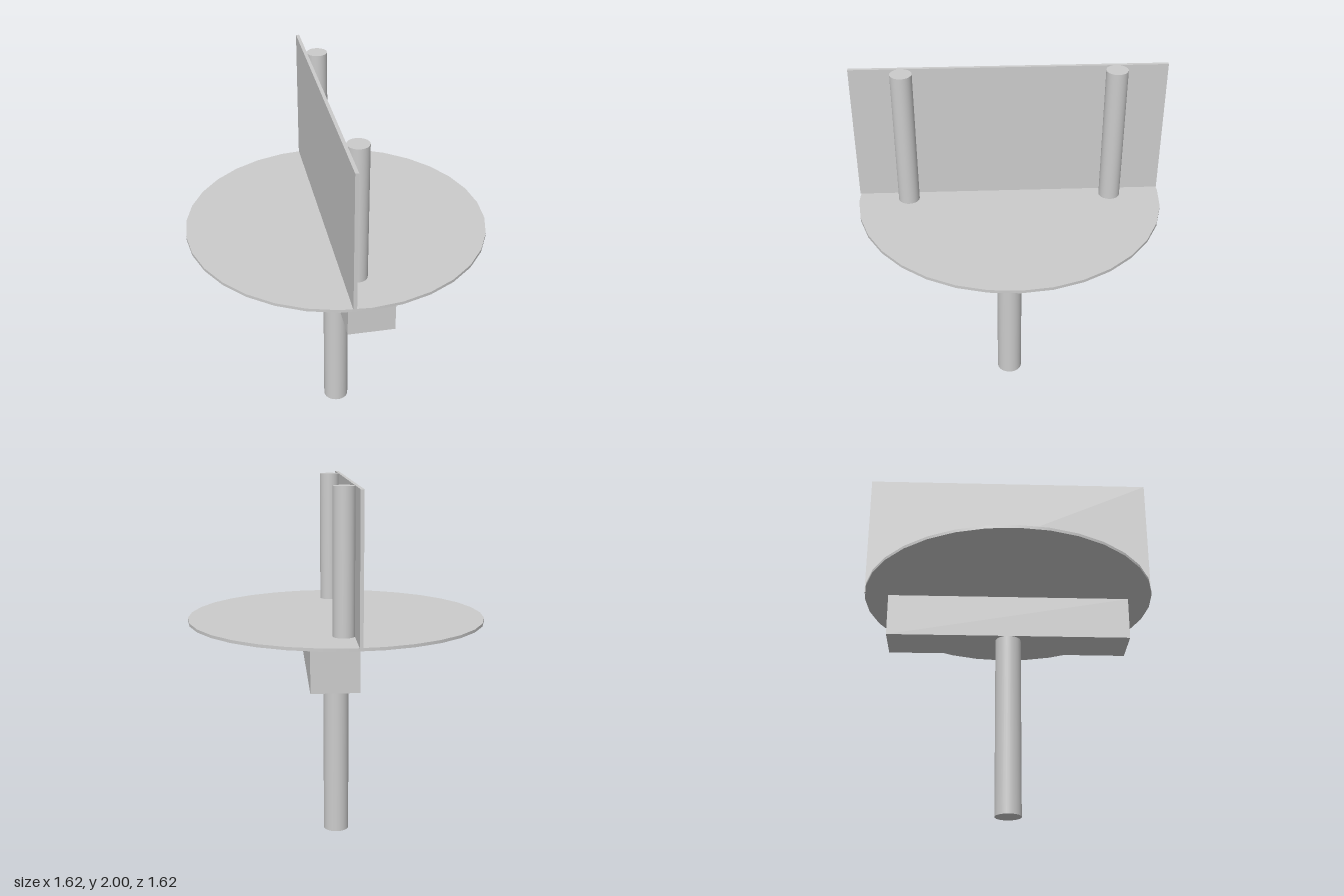
import * as THREE from 'three';

export function createModel() {
  const model = new THREE.Group();
  const material = new THREE.MeshStandardMaterial({ color: 0xcccccc });

  const add = (parent, name, geometry, x, y, z) => {
    const mesh = new THREE.Mesh(geometry, material);
    mesh.name = name;
    mesh.position.set(x, y, z);
    parent.add(mesh);
  };
  // Upright cylinder between two heights
  const rod = (parent, name, r, y0, y1, x = 0, z = 0) =>
    add(parent, name, new THREE.CylinderGeometry(r, r, y1 - y0, 32), x, (y0 + y1) / 2, z);
  // Box between two heights, centred on x and z
  const block = (parent, name, w, d, y0, y1, x) =>
    add(parent, name, new THREE.BoxGeometry(w, y1 - y0, d), x, (y0 + y1) / 2, 0);

  // Central shaft and round table
  rod(model, 'shaft', 0.071, 0, 1);
  rod(model, 'disc', 0.811, 1.242, 1.258);

  // Everything turned with the upright panel
  const turned = new THREE.Group();
  turned.name = 'turnedParts';
  turned.rotation.y = THREE.MathUtils.degToRad(-24);
  model.add(turned);

  block(turned, 'beam', 0.246, 1.352, 1, 1.242, 0.052);
  block(turned, 'panel', 0.018, 1.62, 1.258, 2, -0.063);
  for (const side of [-1, 1]) {
    rod(turned, side > 0 ? 'frontPost' : 'backPost', 0.056, 1.258, 2, 0, side * 0.542);
  }

  return model;
}
